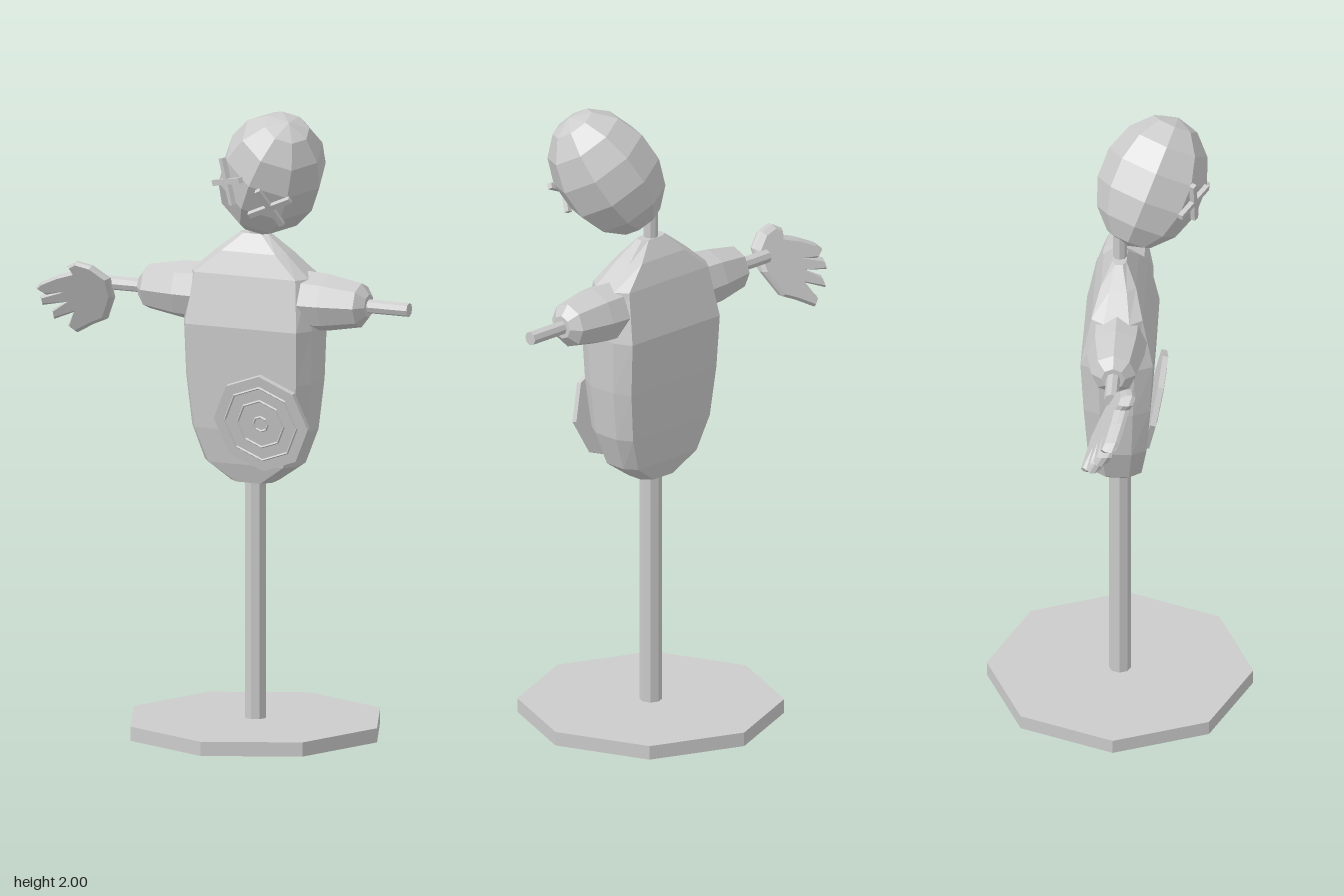
import * as THREE from 'three';

const CX = 0.105; // x of the pole
const mat = new THREE.MeshStandardMaterial({ color: 0xcccccc, flatShading: true });

export function createModel() {
  const model = new THREE.Group();
  const add = (name, geo, x = 0, y = 0, z = 0, parent = model) => {
    const m = new THREE.Mesh(geo, mat);
    m.name = name;
    m.position.set(x, y, z);
    parent.add(m);
    return m;
  };

  // Base, pole, neck and crossbar
  add('base', new THREE.CylinderGeometry(0.415, 0.415, 0.045, 8), CX, 0.0225, 0);
  add('pole', new THREE.CylinderGeometry(0.035, 0.035, 0.8, 8), CX, 0.44, 0);
  add('neck', new THREE.CylinderGeometry(0.022, 0.022, 0.14, 8), CX, 1.62, 0);
  add('crossbar', new THREE.CylinderGeometry(0.022, 0.022, 1.03, 8), 0.115, 1.383, 0).rotation.z = Math.PI / 2;

  // Torso: bevelled sections as [y, half width, half depth]
  add('torso', loft([
    [0.80, 0.07, 0.055], [0.86, 0.155, 0.074], [0.97, 0.195, 0.092], [1.13, 0.213, 0.103],
    [1.30, 0.218, 0.113], [1.46, 0.2, 0.08], [1.53, 0.12, 0.055], [1.585, 0.05, 0.022],
  ]), CX, 0, 0);

  // Stuffed sleeves
  const sleeve = new THREE.LatheGeometry(
    [[0, 0], [0.085, 0.05], [0.094, 0.18], [0.09, 0.25], [0.07, 0.362], [0.037, 0.388], [0, 0.388]]
      .map(([r, h]) => new THREE.Vector2(r, h)), 8);
  for (const s of [-1, 1]) {
    add(s < 0 ? 'rightSleeve' : 'leftSleeve', sleeve, CX, 1.384, 0).rotation.z = -s * Math.PI / 2;
  }

  // Hand: flat outline with bevelled rims, slanted so the thumb side lies forward
  const outline = [
    [-0.385, 1.40], [-0.43, 1.435], [-0.475, 1.445], [-0.498, 1.432], [-0.49, 1.41], [-0.55, 1.39],
    [-0.61, 1.362], [-0.625, 1.348], [-0.605, 1.335], [-0.535, 1.345], [-0.62, 1.315], [-0.62, 1.298],
    [-0.53, 1.312], [-0.59, 1.272], [-0.592, 1.252], [-0.515, 1.282], [-0.545, 1.225], [-0.53, 1.212],
    [-0.47, 1.245], [-0.425, 1.265], [-0.385, 1.34],
  ].map(([x, y]) => new THREE.Vector2(x, y));
  const hand = new THREE.ExtrudeGeometry(new THREE.Shape(outline), {
    depth: 0.016, bevelEnabled: true, bevelThickness: 0.015, bevelSize: 0.009, bevelSegments: 1,
  });
  const p = hand.attributes.position;
  for (let i = 0; i < p.count; i++) p.setZ(i, p.getZ(i) - 0.008 + 0.52 * (p.getY(i) - 1.335));
  hand.computeVertexNormals();
  add('rightHand', hand);

  // Head: leaning forward and sideways
  const head = new THREE.Group();
  head.name = 'head';
  const up = new THREE.Vector3(0.42, 0.84, 0.35).normalize();
  const side = new THREE.Vector3().crossVectors(up, new THREE.Vector3(-0.15, -0.33, 0.93)).normalize();
  const face = new THREE.Vector3().crossVectors(side, up);
  head.quaternion.setFromRotationMatrix(new THREE.Matrix4().makeBasis(side, up, face));
  head.position.set(0.205, 1.8, 0.095);
  model.add(head);
  const skull = new THREE.SphereGeometry(1, 8, 7);
  skull.scale(0.168, 0.217, 0.168);
  add('skull', skull, 0, 0, 0, head);

  // Stitched cross eyes
  const bar = new THREE.BoxGeometry(0.15, 0.018, 0.016);
  for (const s of [-1, 1]) {
    const eye = new THREE.Group();
    eye.name = s < 0 ? 'rightEye' : 'leftEye';
    eye.position.set(s * 0.08, 0, 0.142);
    eye.rotation.y = s * 0.42;
    head.add(eye);
    for (const t of [-1, 1]) add('eyeStitch', bar, 0, 0, 0, eye).rotation.z = t * Math.PI / 4;
  }

  // Round target leaning on the belly
  const target = new THREE.Group();
  target.name = 'target';
  target.position.set(0.175, 1.005, 0.106);
  target.rotation.set(0.2, 0, -0.04);
  model.add(target);
  const disc = new THREE.CylinderGeometry(0.16, 0.16, 0.018, 8);
  disc.rotateX(Math.PI / 2);
  add('targetDisc', disc, 0, 0, 0, target);
  for (const r of [0.122, 0.078, 0.024]) {
    add('targetRing', new THREE.TorusGeometry(r, 0.004, 4, 8), 0, 0, 0.009, target).rotation.z = Math.PI / 2;
  }
  return model;
}

// Skins eight-sided sections stacked along y and closes both ends
function loft(sections) {
  const pos = [], idx = [], n = 8;
  for (const [y, w, d] of sections) {
    const b = Math.min(0.028, w * 0.4); // bevel width
    const q = [[w, -d * 0.5], [w - b, -d], [b - w, -d], [-w, -d * 0.5]];
    for (const [x, z] of q) pos.push(x, y, z);
    for (const [x, z] of q) pos.push(-x, y, -z);
  }
  const last = (sections.length - 1) * n;
  for (let k = 0; k < last; k += n) {
    for (let i = 0; i < n; i++) {
      const j = (i + 1) % n;
      idx.push(k + i, k + j, k + n + j, k + i, k + n + j, k + n + i);
    }
  }
  for (let i = 1; i < n - 1; i++) idx.push(0, i + 1, i, last, last + i, last + i + 1);
  const g = new THREE.BufferGeometry();
  g.setAttribute('position', new THREE.Float32BufferAttribute(pos, 3));
  g.setIndex(idx);
  g.computeVertexNormals();
  return g;
}
